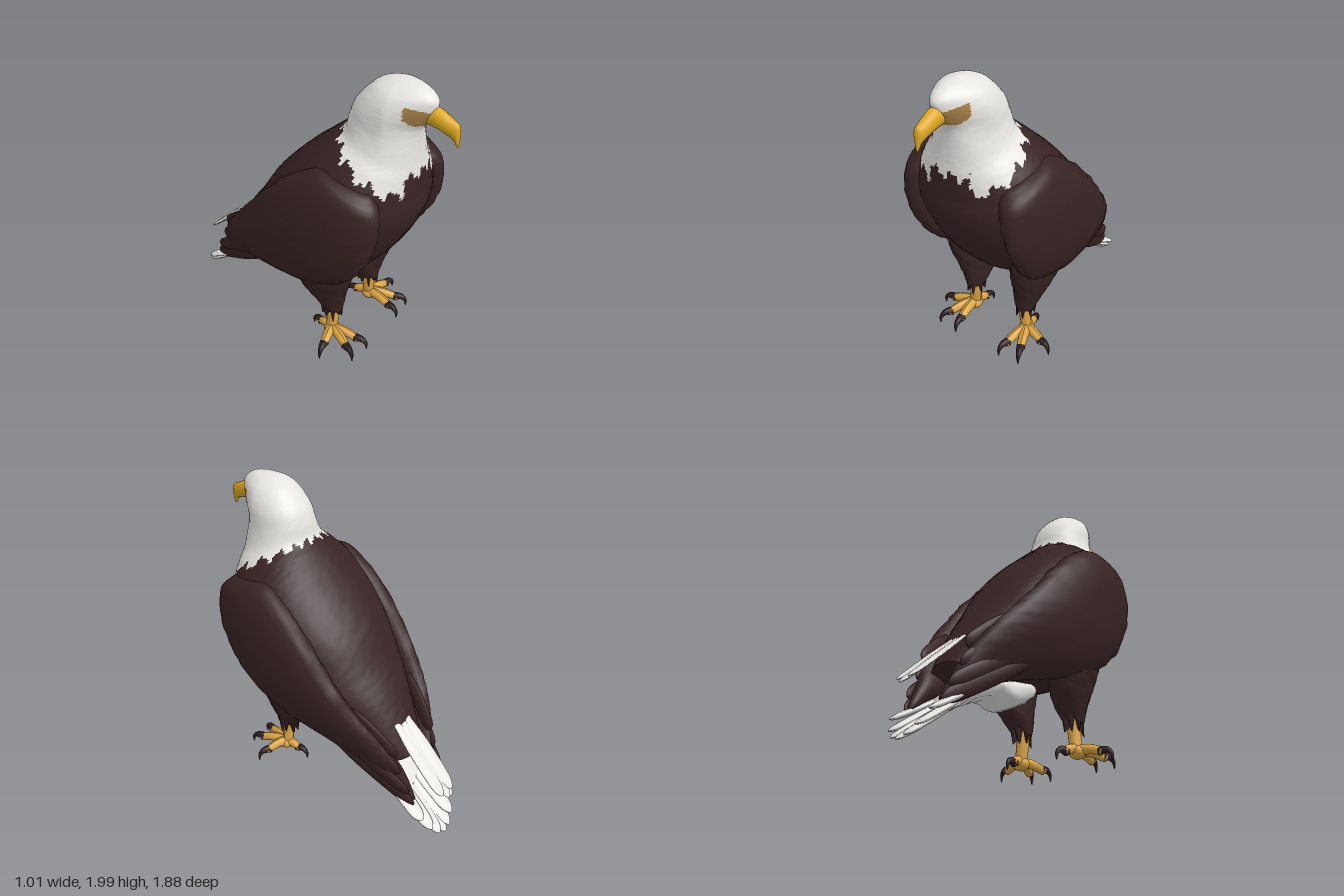
import * as THREE from 'three';

const flat = (name, color) => {
  const m = new THREE.MeshStandardMaterial({ color });
  m.name = name;
  return m;
};
const noise = (i, j) => {
  const s = Math.sin(i * 12.9898 + j * 78.233) * 43758.5453;
  return s - Math.floor(s) - 0.5;
};
const power = (v, e) => Math.sign(v) * Math.abs(v) ** e;

// Closed skin through oval rings. Each ring is [x, frontZ, frontY, backZ, backY, halfWidth].
// round: 1 is an ellipse, less is squarer; hem: raggedness of the first ring;
// bump: plumage relief; tweak: moves a point; paint: picks a material index, 0 to 2.
function loft(rings, { seg = 28, steps = 5, round = 1, hem = 0, bump = 0, tweak, paint } = {}) {
  const front = new THREE.CatmullRomCurve3(rings.map(r => new THREE.Vector3(r[0], r[2], r[1])), false, 'catmullrom');
  const back = new THREE.CatmullRomCurve3(rings.map(r => new THREE.Vector3(r[5], r[4], r[3])), false, 'catmullrom');
  const rows = (rings.length - 1) * steps;
  const pts = [], tris = [], ends = [];
  for (let i = 0; i <= rows; i++) {
    const f = front.getPoint(i / rows), b = back.getPoint(i / rows);
    const c = new THREE.Vector3(f.x, (f.y + b.y) / 2, (f.z + b.z) / 2);
    if (i === 0 || i === rows) ends.push(c);
    for (let j = 0; j < seg; j++) {
      const a = (j / seg) * Math.PI * 2;
      const k = 1 + bump * noise(i, j);
      const across = power(Math.sin(a), round) * k, along = power(Math.cos(a), round) * k;
      const p = new THREE.Vector3(
        c.x + across * Math.max(b.x, 0.001), c.y + along * (f.y - c.y), c.z + along * (f.z - c.z));
      if (i === 0) p.y += hem * (noise(j, 3) + (j % 4 < 2 ? 0.4 : -0.4));
      if (tweak) tweak(p);
      pts.push(p);
    }
  }
  for (let i = 0; i < rows; i++) for (let j = 0; j < seg; j++) {
    const n = (j + 1) % seg, a = i * seg + j, b = i * seg + n, c = a + seg, d = b + seg;
    tris.push([a, c, b], [b, c, d]);
  }
  const first = pts.push(ends[0]) - 1, last = pts.push(ends[1]) - 1, r = rows * seg;
  for (let j = 0; j < seg; j++) {
    const n = (j + 1) % seg;
    tris.push([first, j, n], [last, r + n, r + j]);
  }
  // Turn every face outwards
  let volume = 0;
  const cross = new THREE.Vector3();
  for (const [a, b, c] of tris) volume += pts[a].dot(cross.crossVectors(pts[b], pts[c]));
  if (volume < 0) tris.forEach(t => t.reverse());

  const geo = new THREE.BufferGeometry().setFromPoints(pts);
  if (paint) {
    const sets = [[], [], []];
    for (const t of tris) {
      const m = new THREE.Vector3();
      t.forEach(v => m.addScaledVector(pts[v], 1 / 3));
      sets[paint(m)].push(...t);
    }
    geo.setIndex(sets.flat());
    let start = 0;
    sets.forEach((set, i) => {
      geo.addGroup(start, set.length, i);
      start += set.length;
    });
  } else geo.setIndex(tris.flat());
  geo.computeVertexNormals();
  return geo;
}

// Feather from base to tip ([x, y, z]) with half width w across x and half depth h
function feather(base, tip, w, h) {
  const dy = tip[1] - base[1], dz = tip[2] - base[2], len = Math.hypot(dy, dz);
  const ny = dz / len, nz = -dy / len;
  const rings = [[0, 0.6], [0.35, 1], [0.8, 1], [0.94, 0.7], [1, 0.2]].map(([t, k]) => {
    const [x, y, z] = base.map((v, i) => v + (tip[i] - v) * t);
    return [x, z + nz * h * k, y + ny * h * k, z - nz * h * k, y - ny * h * k, w * k];
  });
  return loft(rings, { seg: 10, steps: 3 });
}

// Tube narrowing from r0 to r1
function taper(points, r0, r1) {
  const curve = new THREE.CatmullRomCurve3(points.map(p => new THREE.Vector3(...p)));
  const n = 10, sides = 10, geo = new THREE.TubeGeometry(curve, n, 1, sides);
  const pos = geo.attributes.position, p = new THREE.Vector3();
  for (let i = 0; i < pos.count; i++) {
    const t = Math.floor(i / (sides + 1)) / n, c = curve.getPointAt(t);
    p.fromBufferAttribute(pos, i).sub(c).multiplyScalar(r0 + (r1 - r0) * t).add(c);
    pos.setXYZ(i, p.x, p.y, p.z);
  }
  geo.computeVertexNormals();
  return geo;
}

// Plumage zones: 0 brown body, 1 white head and ragged collar, 2 tan patch beside the beak
function plumage(p) {
  const ax = Math.abs(p.x), angle = Math.atan2(p.x, p.z - 0.45);
  if (p.z > 0.66 && p.y > 1.783 + Math.max(0, 0.71 - p.z) * 0.9 && p.y < 1.85 + 0.42 * ax) return 2;
  const notch = p.z > 0.5 && ax < 0.14 ? 0.09 : 0;
  const edge = 1.385 + (0.7 - p.z) * 0.6 + notch + 0.022 * Math.sin(angle * 15) + 0.012 * Math.sin(angle * 37);
  return p.y > edge ? 1 : 0;
}

export function createModel() {
  const model = new THREE.Group();
  model.name = 'eagle';
  const brown = flat('dark brown plumage', 0x382323);
  const white = flat('white plumage', 0xe8e6e2);
  const beakYellow = flat('beak yellow', 0xdfa922);
  const footYellow = flat('foot yellow', 0xdba445);
  const browTan = flat('brow tan', 0xa27c46);
  const clawDark = flat('claw dark', 0x2e1e22);
  const add = (name, geo, mat, parent = model) => {
    const m = new THREE.Mesh(geo, mat);
    m.name = name;
    parent.add(m);
  };

  // Head and torso in one skin, from crown to rump
  add('headAndTorso', loft([
    [0, 0.62, 2.0, 0.58, 2.0, 0.01], [0, 0.72, 1.98, 0.5, 1.985, 0.075],
    [0, 0.79, 1.93, 0.43, 1.955, 0.135], [0, 0.79, 1.87, 0.38, 1.91, 0.168],
    [0, 0.76, 1.80, 0.345, 1.87, 0.184], [0, 0.72, 1.74, 0.31, 1.82, 0.192],
    [0, 0.712, 1.65, 0.285, 1.75, 0.203], [0, 0.718, 1.54, 0.265, 1.66, 0.24],
    [0, 0.728, 1.45, 0.2, 1.60, 0.31], [0, 0.735, 1.33, 0.1, 1.51, 0.39],
    [0, 0.735, 1.18, -0.04, 1.38, 0.44], [0, 0.66, 0.98, -0.2, 1.2, 0.455],
    [0, 0.53, 0.78, -0.33, 1.0, 0.43], [0, 0.36, 0.62, -0.44, 0.85, 0.37],
    [0, 0.1, 0.52, -0.53, 0.71, 0.29], [0, -0.2, 0.48, -0.6, 0.59, 0.215],
    [0, -0.45, 0.42, -0.65, 0.5, 0.14]], {
    seg: 96, steps: 9, round: 0.92, bump: 0.008, paint: plumage,
    // Narrow the face towards the beak
    tweak: p => {
      if (p.z > 0.57) p.x *= 1 - 2 * (p.z - 0.57) * THREE.MathUtils.smoothstep(p.y, 1.6, 1.8);
    },
  }), [brown, white, browTan]);

  add('beak', loft([
    [0, 0.70, 1.785, 0.73, 1.89, 0.04], [0, 0.80, 1.775, 0.80, 1.893, 0.045],
    [0, 0.87, 1.755, 0.89, 1.85, 0.037], [0, 0.907, 1.735, 0.93, 1.825, 0.026],
    [0, 0.918, 1.715, 0.938, 1.755, 0.015], [0, 0.93, 1.70, 0.937, 1.70, 0.004]], { seg: 20 }), beakYellow);

  // Undertail coverts and the tail fan
  add('undertail', loft([
    [0, 0.08, 0.52, 0.04, 0.56, 0.10], [0, 0.02, 0.43, -0.02, 0.58, 0.14],
    [0, -0.16, 0.35, -0.12, 0.56, 0.16], [0, -0.3, 0.38, -0.3, 0.52, 0.15],
    [0, -0.5, 0.29, -0.47, 0.46, 0.15], [0, -0.68, 0.19, -0.62, 0.3, 0.15]],
  { seg: 20, steps: 3, bump: 0.2 }), white);
  for (let i = -3; i <= 3; i++) {
    const k = Math.abs(i);
    add('tailFeather', feather([i * 0.042, 0.36 + k * 0.012, -0.45],
      [i * 0.05, 0.008 + k * k * 0.017, -0.935 + k * k * 0.009], 0.052, 0.018), white);
  }
  for (let i = -1; i <= 1; i++) {
    add('upperTailFeather', feather([i * 0.045, 0.69, -0.53],
      [i * 0.045, 0.31 + Math.abs(i) * 0.03, -0.935 + Math.abs(i) * 0.02], 0.045, 0.012), white);
  }

  for (const s of [1, -1]) {
    const side = s > 0 ? 'left' : 'right';
    const flip = rings => rings.map(([x, ...rest]) => [x * s, ...rest]);

    // Folded wing with flight feathers along its rear
    const wing = new THREE.Group();
    wing.name = side + 'Wing';
    model.add(wing);
    add('wingBody', loft(flip([
      [0.31, 0.60, 1.42, 0.42, 1.47, 0.05], [0.345, 0.68, 1.32, 0.26, 1.48, 0.105],
      [0.365, 0.68, 1.12, 0.05, 1.35, 0.13], [0.365, 0.60, 0.92, -0.13, 1.17, 0.135],
      [0.35, 0.46, 0.74, -0.29, 0.98, 0.125], [0.31, 0.22, 0.60, -0.43, 0.82, 0.11],
      [0.25, -0.05, 0.52, -0.54, 0.68, 0.095], [0.19, -0.32, 0.44, -0.62, 0.55, 0.075],
      [0.14, -0.58, 0.34, -0.68, 0.42, 0.05], [0.12, -0.74, 0.22, -0.76, 0.26, 0.02]]),
    { bump: 0.04 }), brown, wing);
    for (const [base, tip] of [
      [[0.30, 0.56, -0.25], [0.14, 0.23, -0.77]], [[0.31, 0.64, -0.25], [0.16, 0.32, -0.74]],
      [[0.29, 0.74, -0.3], [0.17, 0.45, -0.67]], [[0.26, 0.82, -0.35], [0.17, 0.57, -0.635]]]) {
      add('flightFeather', feather([base[0] * s, base[1], base[2]], [tip[0] * s, tip[1], tip[2]], 0.025, 0.05), brown, wing);
    }

    // Feathered thigh, shank and taloned foot
    const leg = new THREE.Group();
    leg.name = side + 'Leg';
    model.add(leg);
    add('thigh', loft(flip([
      [0.205, 0.36, 0.32, 0.22, 0.35, 0.055], [0.21, 0.375, 0.42, 0.14, 0.43, 0.085],
      [0.23, 0.41, 0.55, 0.06, 0.53, 0.11], [0.25, 0.46, 0.72, 0.0, 0.66, 0.13],
      [0.26, 0.47, 0.9, -0.02, 0.8, 0.1]]), { seg: 32, hem: 0.09, bump: 0.08 }), brown, leg);
    add('shank', taper([[0.2 * s, 0.4, 0.29], [0.205 * s, 0.27, 0.295], [0.22 * s, 0.14, 0.29]], 0.042, 0.038), footYellow, leg);
    const pad = new THREE.SphereGeometry(0.055, 16, 10);
    pad.scale(1, 0.8, 1).translate(0.22 * s, 0.16, 0.3);
    add('footPad', pad, footYellow, leg);
    for (const [x, z] of [[0.375, 0.34], [0.3, 0.48], [0.19, 0.49], [0.2, 0.19]]) {
      const dx = x - 0.22, dz = z - 0.3, d = Math.hypot(dx, dz);
      const at = (r, y) => [(0.22 + dx / d * r) * s, y, 0.3 + dz / d * r];
      add('toe', taper([at(0, 0.17), at(d * 0.5, 0.17), at(d, 0.145)], 0.036, 0.026), footYellow, leg);
      add('claw', taper([at(d - 0.025, 0.15), at(d + 0.025, 0.155), at(d + 0.055, 0.13), at(d + 0.06, 0.085)], 0.03, 0.003), clawDark, leg);
    }
  }
  return model;
}
